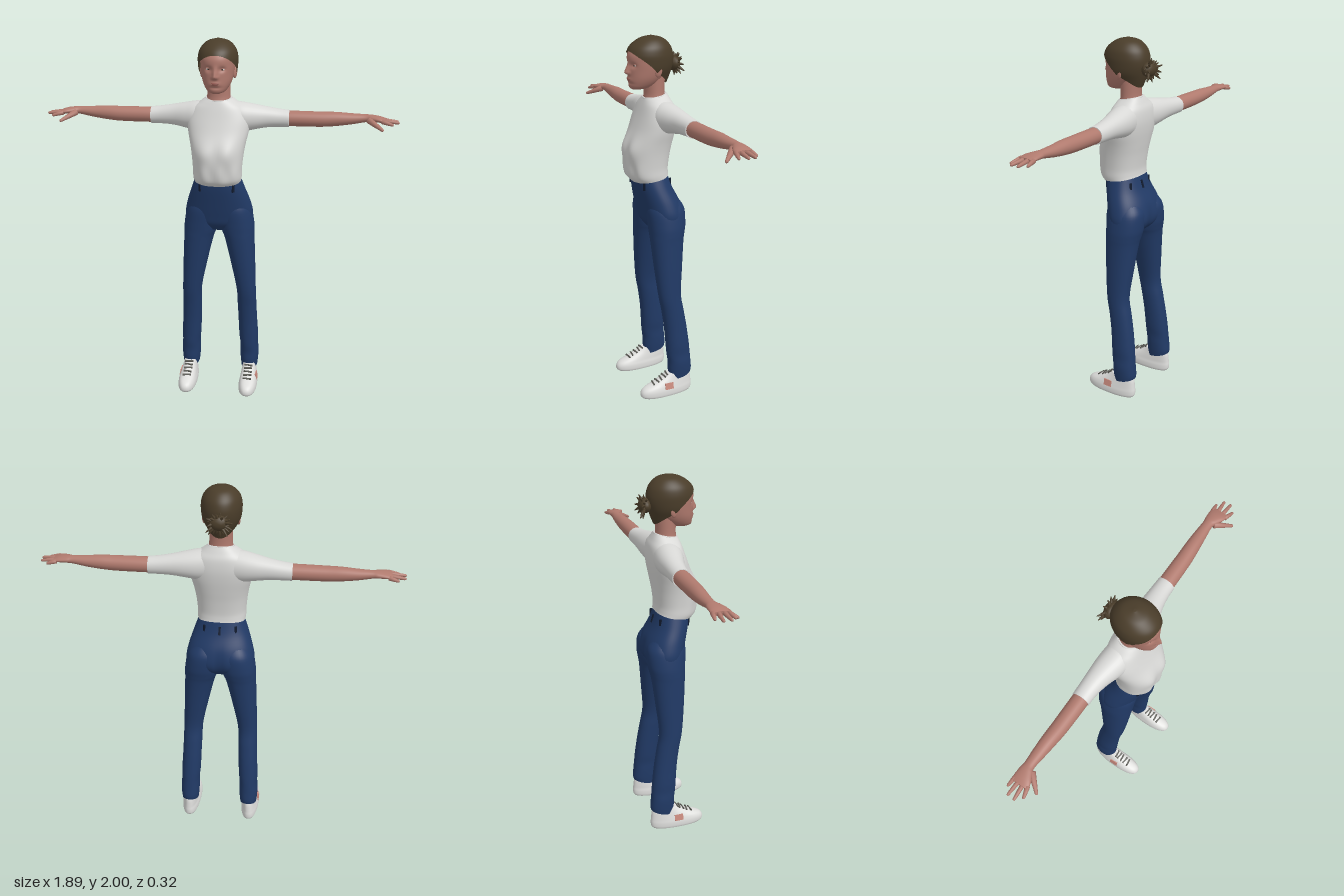
import * as THREE from 'three';

const material = (name, color, side = THREE.FrontSide) => {
  const m = new THREE.MeshStandardMaterial({ color, side });
  m.name = name;
  return m;
};

// Cross-sections are [height, centre x, half width, front z, back z, front droop]
function section(rings, k) {
  const i = Math.min(Math.floor(k), rings.length - 2), t = k - i;
  const at = (j, c) => rings[THREE.MathUtils.clamp(j, 0, rings.length - 1)][c] ?? 0;
  return [0, 1, 2, 3, 4, 5].map((c) => {
    const a = at(i - 1, c), b = at(i, c), d = at(i + 1, c), e = at(i + 2, c);
    const v0 = (d - a) / 2, v1 = (e - b) / 2;
    return b + v0 * t + (3 * (d - b) - 2 * v0 - v1) * t * t + (2 * (b - d) + v0 + v1) * t * t * t;
  });
}

function surfacePoint(rings, k, angle, power = 1) {
  const [y, cx, w, zf, zb, droop] = section(rings, k);
  const c = Math.cos(angle), s = Math.sin(angle);
  const bend = (v) => Math.sign(v) * Math.abs(v) ** power;
  return new THREE.Vector3(cx + w * bend(c), y - droop * s, (zf + zb) / 2 + ((zf - zb) / 2) * bend(s));
}

// Smooth skin over the sections; start(angle) trims the lower edge, shape(p) moves points
function loft(rings, { n = 32, m = 5, power = 1, start = null, shape = null } = {}) {
  const pos = [], index = [], last = rings.length - 1, rows = last * m;
  for (let i = 0; i <= rows; i++) {
    for (let j = 0; j < n; j++) {
      const a = (j / n) * Math.PI * 2, k0 = start ? start(a) : 0;
      const p = surfacePoint(rings, k0 + (last - k0) * (i / rows), a, power);
      if (shape) shape(p);
      pos.push(p.x, p.y, p.z);
      if (i < rows) {
        const q = i * n + j, r = i * n + ((j + 1) % n);
        index.push(q, q + n, r, r, q + n, r + n);
      }
    }
  }
  for (const row of start ? [rows] : [0, rows]) {
    const first = pos.length / 3, mid = [0, 0, 0];
    for (let j = 0; j < n; j++) {
      for (let c = 0; c < 3; c++) {
        const v = pos[(row * n + j) * 3 + c];
        pos.push(v);
        mid[c] += v / n;
      }
    }
    pos.push(...mid);
    for (let j = 0; j < n; j++) {
      const a = first + j, b = first + ((j + 1) % n);
      index.push(first + n, row ? b : a, row ? a : b);
    }
  }
  const g = new THREE.BufferGeometry();
  g.setAttribute('position', new THREE.Float32BufferAttribute(pos, 3));
  g.setIndex(index);
  g.computeVertexNormals();
  return g;
}

function mirrored(geo) {
  const g = geo.clone().scale(-1, 1, 1), ix = g.index.array;
  for (let i = 0; i < ix.length; i += 3) [ix[i], ix[i + 1]] = [ix[i + 1], ix[i]];
  return g;
}

const ball = (x, y, z, rx, ry, rz) => new THREE.SphereGeometry(1, 20, 14).scale(rx, ry, rz).translate(x, y, z);
const hill = (d, s) => Math.exp(-(d * d) / (s * s));

// Tapered rod with rounded tip, from a to b
function rod(a, b, r0, r1) {
  const A = new THREE.Vector3(...a), d = new THREE.Vector3(...b).sub(A), L = d.length();
  const profile = [[0, 0], [r0, 0], [(r0 + r1) / 2, L * 0.5], [r1, L - r1], [r1 * 0.7, L - r1 * 0.3], [0, L]];
  const g = new THREE.LatheGeometry(profile.map((p) => new THREE.Vector2(...p)), 10);
  g.applyQuaternion(new THREE.Quaternion().setFromUnitVectors(new THREE.Vector3(0, 1, 0), d.normalize()));
  return g.translate(A.x, A.y, A.z);
}

export function createModel() {
  const model = new THREE.Group();
  model.name = 'standingWoman';
  const skin = material('skin', 0xb07a6e), lip = material('lips', 0x945a52);
  const hair = material('brown hair', 0x4a3d2a, THREE.DoubleSide);
  const cotton = material('white cotton', 0xd8d8d6), denim = material('blue denim', 0x213a66);
  const navy = material('dark denim', 0x121c30), shoeWhite = material('shoe white', 0xdededc);
  const lace = material('grey lace', 0x55554f), pink = material('pink patch', 0xc98a7e);
  const eyeDark = material('eye dark', 0x33231c);

  const add = (name, geo, mat) => {
    const mesh = new THREE.Mesh(geo, mat);
    mesh.name = name;
    model.add(mesh);
  };
  const pair = (name, geo, mat) => {
    add(name + 'Left', geo, mat);
    add(name + 'Right', mirrored(geo), mat);
  };

  // Head with nose, eye sockets, mouth and chin pushed out of the skin
  const headRings = [
    [1.728, 0, 0.022, 0.118, 0.05], [1.738, 0, 0.045, 0.131, 0.02], [1.76, 0, 0.063, 0.137, -0.02],
    [1.79, 0, 0.077, 0.138, -0.05], [1.83, 0, 0.086, 0.138, -0.08], [1.87, 0, 0.09, 0.14, -0.09],
    [1.91, 0, 0.091, 0.136, -0.093], [1.95, 0, 0.078, 0.108, -0.078], [1.98, 0, 0.045, 0.06, -0.045],
    [1.988, 0, 0.005, 0.01, 0]];
  add('head', loft(headRings, { n: 80, m: 8, power: 0.95, shape: (p) => {
    if (p.z < 0.06) return;
    const ax = Math.abs(p.x), up = p.y - 1.818;
    p.z += 0.024 * hill(p.x, 0.011 - 0.06 * Math.max(0, up) * 0.5) * hill(up, up > 0 ? 0.035 : 0.011);
    p.z += 0.006 * hill(ax - 0.012, 0.008) * hill(up + 0.004, 0.009);
    p.z -= 0.012 * hill(ax - 0.035, 0.018) * hill(p.y - 1.855, 0.014);
    p.z += 0.005 * hill(p.x, 0.025) * hill(p.y - 1.781, 0.012);
    p.z -= 0.005 * hill(p.x, 0.03) * hill(p.y - 1.762, 0.008);
  } }), skin);
  add('neck', loft([[1.6, 0, 0.075, 0.05, -0.085], [1.67, 0, 0.066, 0.05, -0.068],
    [1.71, 0, 0.061, 0.046, -0.06], [1.8, 0, 0.06, 0.05, -0.065]]), skin);
  pair('ear', ball(0, 0, 0, 0.009, 0.03, 0.018).rotateX(-0.2).rotateY(-0.3).translate(0.088, 1.825, 0.008), skin);
  pair('eye', ball(0.035, 1.855, 0.117, 0.013, 0.005, 0.006), cotton);
  pair('iris', ball(0.035, 1.855, 0.121, 0.005, 0.005, 0.0035), eyeDark);
  pair('eyelid', ball(0.035, 1.8605, 0.117, 0.015, 0.004, 0.008), skin);
  add('upperLip', ball(0, 1.785, 0.138, 0.021, 0.0045, 0.007), lip);
  add('lowerLip', ball(0, 1.778, 0.137, 0.018, 0.005, 0.007), lip);

  // Swept-back hair, trimmed along the hairline
  const hairRings = [
    [1.75, 0, 0.06, 0.1, -0.072], [1.79, 0, 0.08, 0.135, -0.088], [1.83, 0, 0.098, 0.143, -0.1],
    [1.87, 0, 0.104, 0.146, -0.108], [1.91, 0, 0.104, 0.145, -0.106], [1.95, 0, 0.092, 0.124, -0.09],
    [1.985, 0, 0.058, 0.075, -0.052], [2.0, 0, 0.008, 0.02, 0.005]];
  add('hairCap', loft(hairRings, { n: 72, m: 5, start: (a) => {
    const f = Math.sin(a);
    return f > 0 ? 1.8 + 2.6 * f ** 0.9 : 1.8 + 1.8 * f;
  } }), hair);

  // Messy knot with loose strands
  add('hairKnot', new THREE.IcosahedronGeometry(1, 2).scale(0.05, 0.04, 0.034).translate(0, 1.85, -0.118), hair);
  let seed = 7;
  const rand = () => (seed = (seed * 16807) % 2147483647) / 2147483647;
  for (let i = 0; i < 22; i++) {
    const a = (i / 22) * Math.PI * 2, r = 0.045 + 0.022 * rand();
    const c = Math.cos(a), s = Math.sin(a), z = -0.115 - 0.045 * rand();
    add('hairStrand', rod([c * 0.022, 1.85 + s * 0.018, -0.125],
      [c * r * 1.15, 1.845 + s * r, z], 0.012, 0.0025), hair);
  }

  // T-shirt body, sleeves and neckband
  add('shirtBody', loft([
    [1.252, 0, 0.127, 0.124, -0.07, 0.018], [1.275, 0, 0.13, 0.146, -0.068, 0.012],
    [1.32, 0, 0.131, 0.154, -0.068], [1.39, 0, 0.138, 0.15, -0.077], [1.45, 0, 0.148, 0.138, -0.088],
    [1.52, 0, 0.163, 0.11, -0.1], [1.58, 0, 0.165, 0.088, -0.105], [1.635, 0, 0.14, 0.07, -0.1],
    [1.667, 0, 0.1, 0.06, -0.085, 0.004], [1.69, 0, 0.068, 0.054, -0.07, 0.012]],
  { n: 64, power: 0.86, shape: (p) => {
    if (p.z < 0.03) return;
    p.z += 0.015 * hill(Math.abs(p.x) - 0.06, 0.045) * hill(p.y - 1.41, 0.055);
    p.z += 0.005 * Math.sin(p.x * 75) * hill(p.y - 1.3, 0.05);
  } }), cotton);
  add('shirtNeckband', new THREE.TorusGeometry(0.066, 0.005, 8, 40).rotateX(Math.PI / 2)
    .scale(1, 1, 0.92).rotateX(0.19).translate(0, 1.688, -0.008), cotton);
  pair('sleeve', loft([
    [0.05, -1.588, 0.085, 0.045, -0.095], [0.12, -1.585, 0.08, 0.05, -0.102], [0.18, -1.585, 0.069, 0.034, -0.103],
    [0.25, -1.584, 0.056, 0.012, -0.1], [0.32, -1.58, 0.048, 0, -0.098], [0.372, -1.577, 0.045, -0.002, -0.097]],
  { power: 0.95 }).rotateZ(-Math.PI / 2), cotton);

  // Arms and hands, palms down
  pair('arm', loft([
    [0.3, -1.578, 0.04, -0.008, -0.092], [0.4, -1.578, 0.041, -0.007, -0.093], [0.54, -1.578, 0.04, -0.01, -0.092],
    [0.62, -1.581, 0.037, -0.016, -0.092], [0.7, -1.584, 0.029, -0.024, -0.089], [0.77, -1.589, 0.021, -0.03, -0.084],
    [0.8, -1.59, 0.019, -0.018, -0.088], [0.84, -1.588, 0.016, 0, -0.09], [0.872, -1.583, 0.011, 0.004, -0.088]],
  { n: 28 }).rotateZ(-Math.PI / 2), skin);
  const fingers = [[-0.079, 0.908, 1.57, -0.087], [-0.054, 0.944, 1.574, -0.06],
    [-0.029, 0.947, 1.575, -0.022], [-0.006, 0.915, 1.568, 0.01]];
  for (const [z0, x, y, z] of fingers) pair('finger', rod([0.855, 1.583, z0], [x, y, z], 0.0125, 0.0075), skin);
  pair('thumb', rod([0.79, 1.583, -0.03], [0.862, 1.545, 0.046], 0.018, 0.008), skin);

  // Jeans: hips and two legs
  const hipRings = [
    [0.96, 0, 0.1, 0.03, -0.09], [1.0, 0, 0.17, 0.06, -0.13], [1.05, 0, 0.186, 0.074, -0.143],
    [1.12, 0, 0.172, 0.09, -0.127], [1.2, 0, 0.145, 0.107, -0.088], [1.262, 0, 0.123, 0.114, -0.064, 0.012]];
  add('jeansHips', loft(hipRings, { n: 56, power: 0.9, shape: (p) => {
    if (p.z < -0.05) p.z += 0.014 * hill(p.x, 0.022) * hill(p.y - 1.03, 0.07);
  } }), denim);
  pair('jeansLeg', loft([
    [0.1, 0.172, 0.047, -0.026, -0.152, 0.018], [0.14, 0.172, 0.051, -0.018, -0.155], [0.19, 0.172, 0.053, -0.017, -0.15],
    [0.24, 0.17, 0.051, -0.01, -0.146], [0.3, 0.167, 0.054, -0.006, -0.14], [0.4, 0.162, 0.053, 0.002, -0.127],
    [0.5, 0.158, 0.053, 0.016, -0.11], [0.6, 0.154, 0.054, 0.034, -0.094], [0.75, 0.136, 0.067, 0.049, -0.106],
    [0.9, 0.115, 0.082, 0.06, -0.121], [0.95, 0.105, 0.091, 0.063, -0.13], [1.0, 0.097, 0.095, 0.067, -0.139],
    [1.08, 0.085, 0.092, 0.072, -0.138], [1.13, 0.08, 0.07, 0.06, -0.11]],
  { n: 36, power: 0.92 }), denim);

  // Belt loops around the waistband
  for (const a of [0.9, -0.95]) {
    const p = surfacePoint(hipRings, 4.3, a, 0.9);
    pair('beltLoop', new THREE.BoxGeometry(0.012, 0.045, 0.009).rotateY(Math.PI / 2 - a).translate(p.x, p.y, p.z), navy);
  }
  const back = surfacePoint(hipRings, 4.3, -Math.PI / 2, 0.9);
  add('beltLoopBack', new THREE.BoxGeometry(0.012, 0.045, 0.009).rotateX(0.3).translate(0, back.y, back.z), navy);

  // Sneakers with laces and side patch
  const shoeRings = [
    [0, 0.176, 0.05, 0.145, -0.145], [0.012, 0.176, 0.054, 0.156, -0.154], [0.035, 0.176, 0.054, 0.154, -0.156],
    [0.055, 0.176, 0.05, 0.135, -0.154], [0.075, 0.175, 0.046, 0.088, -0.152], [0.1, 0.174, 0.041, 0.034, -0.149],
    [0.125, 0.173, 0.037, -0.005, -0.142]];
  pair('shoe', loft(shoeRings, { n: 40, power: 0.85, shape: (p) => {
    p.x = 0.176 + (p.x - 0.176) * (0.95 + 0.5 * p.z);
  } }), shoeWhite);
  for (let i = 0; i < 5; i++) {
    const p = surfacePoint(shoeRings, 4.1 + i * 0.42, Math.PI / 2);
    pair('lace', new THREE.BoxGeometry(0.048, 0.006, 0.009).rotateX(0.45).rotateY(i % 2 ? 0.12 : -0.12)
      .translate(0.175, p.y + 0.001, p.z - 0.002), lace);
  }
  pair('shoePatch', new THREE.BoxGeometry(0.008, 0.036, 0.05).rotateZ(0.2).translate(0.221, 0.062, 0), pink);

  return model;
}
